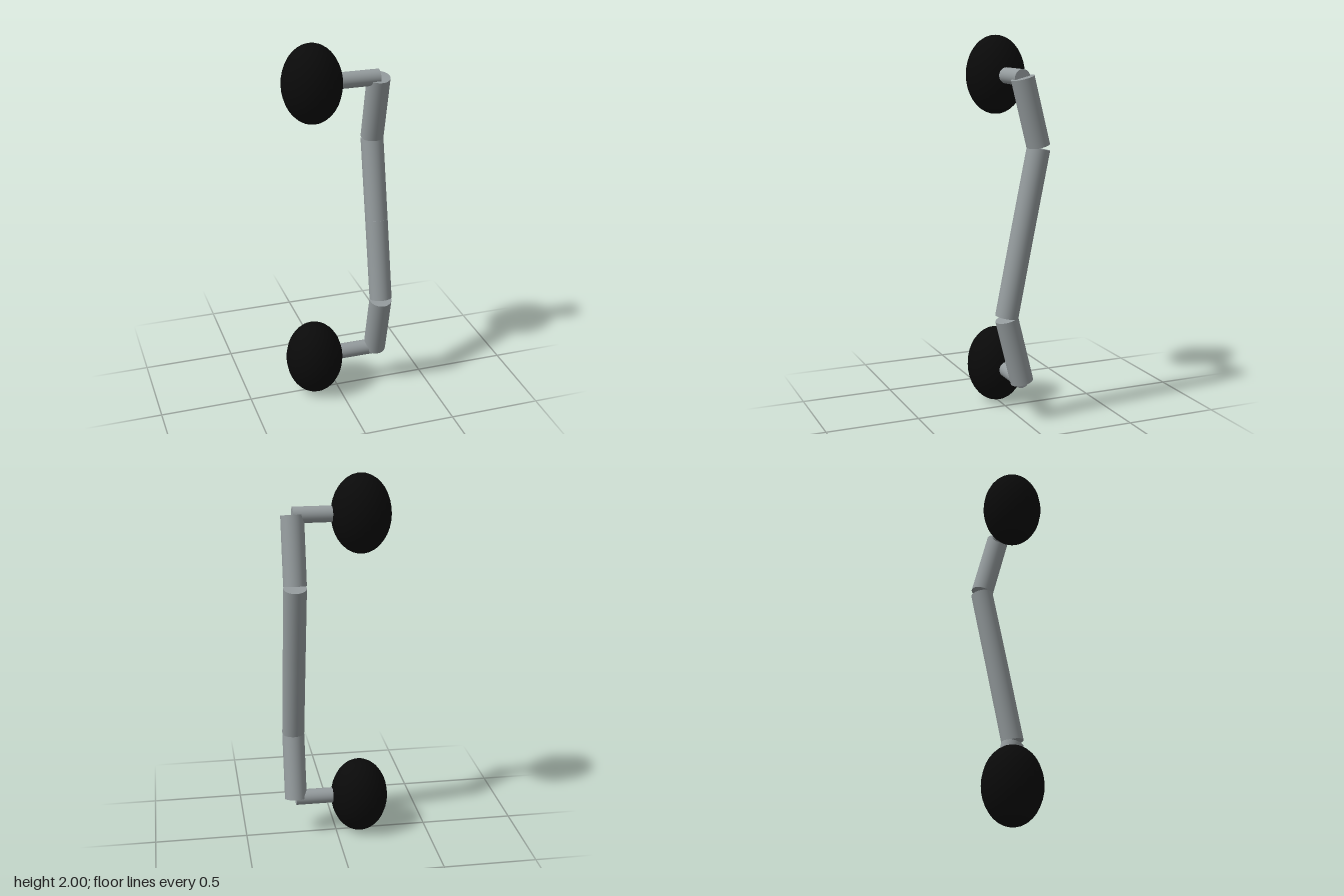
import * as THREE from 'three';

export function createModel() {
  const model = new THREE.Group();
  model.name = 'doubleKnobHandle';

  const metal = new THREE.MeshStandardMaterial({ color: 0x949b9d });
  metal.name = 'grey metal';
  const black = new THREE.MeshStandardMaterial({ color: 0x0a0a0a });
  black.name = 'black';

  // Capped cylinder running between two points
  function rod(name, from, to, radius) {
    const a = new THREE.Vector3(...from);
    const dir = new THREE.Vector3(...to).sub(a);
    const mesh = new THREE.Mesh(new THREE.CylinderGeometry(radius, radius, dir.length(), 32), metal);
    mesh.name = name;
    mesh.position.copy(a).addScaledVector(dir, 0.5);
    mesh.quaternion.setFromUnitVectors(new THREE.Vector3(0, 1, 0), dir.normalize());
    model.add(mesh);
  }

  const barX = 0.2235;

  // Egg-shaped knobs, each on a thin stub
  for (const [side, knobY, stubY] of [['upper', 1.793, 1.796], ['lower', 0.207, 0.214]]) {
    const knob = new THREE.Mesh(new THREE.SphereGeometry(1, 24, 18), black);
    knob.name = side + 'Knob';
    knob.scale.set(0.156, 0.207, 0.157);
    knob.position.set(-0.13, knobY, 0);
    model.add(knob);
    rod(side + 'Stub', [-0.08, stubY, 0], [barX, stubY, 0], 0.042);
  }

  // Zigzag bar: separate straight lengths whose ends meet at an angle
  const lengths = [
    ['upperBend', [1.795, 0], [1.447, -0.088]],
    ['upperShaft', [1.437, -0.089], [1.003, 0]],
    ['lowerShaft', [1.003, 0], [0.568, 0.087]],
    ['lowerBend', [0.558, 0.087], [0.21, 0]],
  ];
  for (const [name, [y0, z0], [y1, z1]] of lengths) {
    rod(name, [barX, y0, z0], [barX, y1, z1], 0.0605);
  }

  return model;
}
